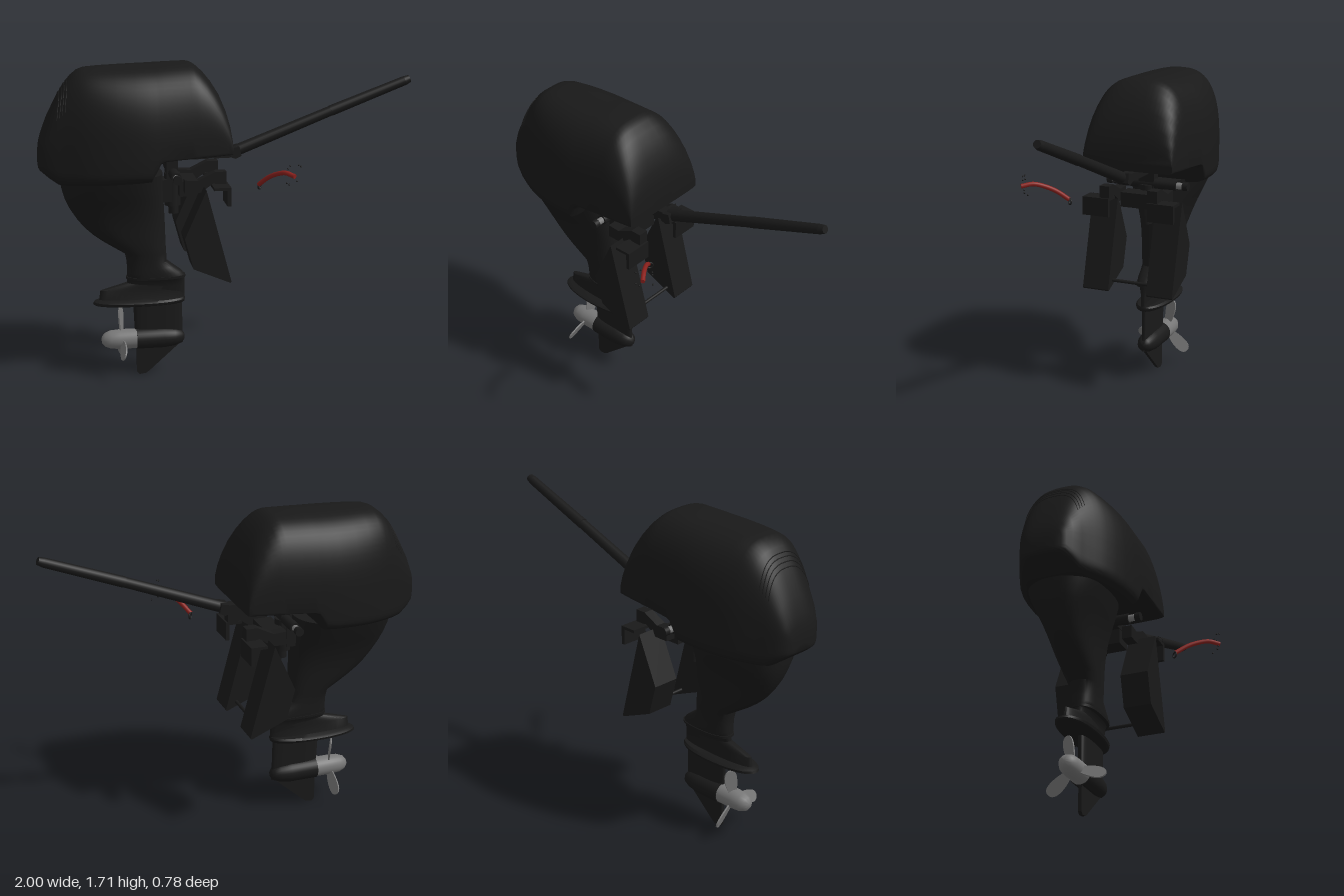
import * as THREE from 'three';
import { toCreasedNormals } from 'three/addons/utils/BufferGeometryUtils.js';

const V = (x, y, z) => new THREE.Vector3(x, y, z);
const material = (name, color) => {
  const m = new THREE.MeshStandardMaterial({ color });
  m.name = name;
  return m;
};

// Closed skin through equal-length rings, with capped ends
function loft(rings) {
  const n = rings[0].length, pos = [], idx = [];
  rings.flat().forEach(p => pos.push(p.x, p.y, p.z));
  for (let i = 0; i < rings.length - 1; i++) {
    for (let j = 0; j < n; j++) {
      const k = (j + 1) % n, a = i * n + j, b = i * n + k;
      idx.push(a, b, b + n, a, b + n, a + n);
    }
  }
  [0, rings.length - 1].forEach(i => {
    const c = rings[i].reduce((s, p) => s.add(p), V(0, 0, 0)).divideScalar(n);
    const at = pos.length / 3;
    pos.push(c.x, c.y, c.z);
    for (let j = 0; j < n; j++) {
      const a = i * n + j, b = i * n + (j + 1) % n;
      if (i === 0) idx.push(at, b, a); else idx.push(at, a, b);
    }
  });
  const g = new THREE.BufferGeometry();
  g.setAttribute('position', new THREE.Float32BufferAttribute(pos, 3));
  g.setIndex(idx);
  return toCreasedNormals(g, 0.7);
}

const power = (v, n) => Math.sign(v) * Math.abs(v) ** (2 / n);

// Horizontal sections, each [y, rear x, front x, half width], from low to high
function tower(rows, n = 2.5) {
  return loft(rows.map(([y, x0, x1, w]) => Array.from({ length: 40 }, (_, j) => {
    const t = j / 40 * Math.PI * 2;
    return V((x0 + x1) / 2 + (x1 - x0) / 2 * power(Math.sin(t), n), y, w * power(Math.cos(t), n));
  })));
}

// Cowl stations: [x, bottom, top, half width]
const cowlRows = [
  [-1, 1.18, 1.26, 0.07], [-0.993, 1.17, 1.31, 0.1], [-0.98, 1.16, 1.355, 0.122],
  [-0.95, 1.135, 1.435, 0.145], [-0.9, 1.1, 1.535, 0.168], [-0.86, 1.095, 1.6, 0.187],
  [-0.82, 1.096, 1.65, 0.207], [-0.785, 1.097, 1.678, 0.223], [-0.75, 1.098, 1.69, 0.238],
  [-0.68, 1.1, 1.695, 0.26], [-0.6, 1.105, 1.698, 0.276], [-0.5, 1.11, 1.701, 0.286],
  [-0.43, 1.115, 1.703, 0.285], [-0.4, 1.18, 1.704, 0.283], [-0.385, 1.215, 1.705, 0.282],
  [-0.36, 1.23, 1.706, 0.281], [-0.22, 1.24, 1.71, 0.271], [-0.195, 1.24, 1.704, 0.27],
  [-0.17, 1.242, 1.689, 0.268], [-0.135, 1.243, 1.657, 0.265], [-0.1, 1.245, 1.613, 0.263],
  [-0.065, 1.247, 1.556, 0.26], [-0.035, 1.249, 1.483, 0.258], [-0.018, 1.25, 1.42, 0.256],
  [-0.01, 1.25, 1.36, 0.255],
];

// Point on the cowl: t = 0 at the crown, PI at the underside
function cowlPoint([x, bottom, top, w], t) {
  const mid = Math.max(bottom + 0.02, Math.min(1.25, (bottom + top) / 2));
  const c = Math.cos(t), s = Math.sin(t);
  const n = 2.75 + 0.75 * THREE.MathUtils.smoothstep(x, -0.25, -0.02);
  if (c >= 0) return V(x, mid + (top - mid) * power(c, n), w * power(s, n));
  return V(x, mid + (bottom - mid) * power(-c, 6), w * power(s, 6));
}

function cowlRow(x) {
  const i = Math.max(1, cowlRows.findIndex(r => r[0] >= x));
  const a = cowlRows[i - 1], b = cowlRows[i], f = (x - a[0]) / (b[0] - a[0]);
  return a.map((v, k) => v + (b[k] - v) * f);
}

// Side outline in x, y extruded across z
function slab(points, z0, z1) {
  const shape = new THREE.Shape(points.map(p => new THREE.Vector2(...p)));
  return new THREE.ExtrudeGeometry(shape, { depth: z1 - z0, bevelEnabled: false }).translate(0, 0, z0);
}

const box = (x0, x1, y0, y1, z0, z1) =>
  new THREE.BoxGeometry(x1 - x0, y1 - y0, z1 - z0).translate((x0 + x1) / 2, (y0 + y1) / 2, (z0 + z1) / 2);

function rod(a, b, r0, r1 = r0) {
  const d = b.clone().sub(a);
  const q = new THREE.Quaternion().setFromUnitVectors(V(0, 1, 0), d.clone().normalize());
  return new THREE.CylinderGeometry(r1, r0, d.length(), 20).applyQuaternion(q)
    .translate((a.x + b.x) / 2, (a.y + b.y) / 2, (a.z + b.z) / 2);
}

// Turned part along the propeller shaft; profile is [distance toward -x, radius]
const shaftY = 0.205;
const turned = profile => toCreasedNormals(new THREE.LatheGeometry(
  profile.map(([d, r]) => new THREE.Vector2(r, d)), 28).rotateZ(Math.PI / 2).translate(0, shaftY, 0), 0.7);

export function createModel() {
  const black = material('black paint', 0x191919);
  const grey = material('propeller grey', 0x777777);
  const red = material('cord red', 0x8a211d);
  const model = new THREE.Group();
  const motor = new THREE.Group();
  motor.name = 'motor';
  motor.position.z = -0.1;
  model.add(motor);
  const add = (name, geometry, mat = black, parent = motor) => {
    const m = new THREE.Mesh(geometry, mat);
    m.name = name;
    parent.add(m);
    return m;
  };

  // Engine cover with raised vent ribs around its rear shoulder
  add('cowl', loft(cowlRows.map(row =>
    Array.from({ length: 64 }, (_, j) => cowlPoint(row, j / 64 * Math.PI * 2)))));
  for (let i = 0; i < 4; i++) {
    const pts = [];
    for (let j = 0; j <= 24; j++) {
      const t = (j / 12 - 1) * 0.95;
      pts.push(cowlPoint(cowlRow(-0.84 - i * 0.014 - 0.03 * Math.sin(t) ** 2), t));
    }
    add('ventRib', new THREE.TubeGeometry(new THREE.CatmullRomCurve3(pts), 48, 0.0025, 6));
  }

  // Leg and gearcase
  add('leg', tower([
    [0.42, -0.55, -0.235, 0.025], [0.5, -0.55, -0.235, 0.032], [0.545, -0.545, -0.235, 0.045],
    [0.56, -0.545, -0.235, 0.066], [0.58, -0.545, -0.25, 0.068], [0.61, -0.545, -0.29, 0.068],
    [0.64, -0.545, -0.33, 0.07], [0.69, -0.555, -0.333, 0.077], [0.73, -0.62, -0.335, 0.084],
    [0.765, -0.675, -0.336, 0.09], [0.8, -0.722, -0.337, 0.096], [0.845, -0.77, -0.338, 0.104],
    [0.89, -0.806, -0.34, 0.115], [0.95, -0.844, -0.343, 0.135], [1, -0.866, -0.345, 0.157],
    [1.06, -0.883, -0.348, 0.185], [1.13, -0.89, -0.35, 0.21],
  ]));
  add('collar', tower([[0.547, -0.55, -0.23, 0.068], [0.56, -0.55, -0.23, 0.07]]));
  add('plateFairing', tower([[0.42, -0.7, -0.235, 0.045], [0.485, -0.69, -0.235, 0.033], [0.525, -0.55, -0.235, 0.036]], 2.2));
  add('cavitationPlate', tower([[0.406, -0.72, -0.24, 0.075], [0.412, -0.73, -0.235, 0.088],
    [0.425, -0.725, -0.232, 0.093], [0.435, -0.7, -0.235, 0.08]], 2.2));
  add('strut', tower([[0.17, -0.505, -0.245, 0.024], [0.42, -0.515, -0.25, 0.027]]));
  add('gearcase', turned([[0.235, 0], [0.24, 0.02], [0.255, 0.037], [0.29, 0.05], [0.35, 0.058], [0.5, 0.058], [0.5, 0]]));
  add('skeg', slab([[-0.5, 0.18], [-0.5, 0.015], [-0.485, 0], [-0.45, 0.005], [-0.43, 0.02], [-0.245, 0.185]], -0.009, 0.009));

  // Propeller
  add('propellerHub', turned([[0.5, 0], [0.5, 0.054], [0.59, 0.054], [0.64, 0.05], [0.672, 0.037], [0.687, 0.018], [0.69, 0]]), grey);
  const blade = new THREE.Shape();
  blade.moveTo(-0.02, 0.04);
  blade.bezierCurveTo(-0.035, 0.1, -0.05, 0.178, 0, 0.178);
  blade.bezierCurveTo(0.045, 0.178, 0.04, 0.09, 0.02, 0.04);
  for (let i = 0; i < 3; i++) {
    const g = new THREE.ExtrudeGeometry(blade, { depth: 0.008, bevelEnabled: false, curveSegments: 12 })
      .translate(0, 0, -0.004).rotateY(Math.PI / 2 - 0.4);
    const m = add('propellerBlade', g, grey);
    m.position.set(-0.58, shaftY, 0);
    m.rotation.x = -0.23 + i * Math.PI * 2 / 3;
  }

  // Transom clamps, mirrored about the centre plane
  for (const s of [1, -1]) {
    const span = (a, b) => s > 0 ? [a, b] : [-b, -a];
    add('transomBracket', slab([[-0.265, 0.82], [-0.15, 1.075], [-0.02, 0.58], [-0.025, 0.572], [-0.22, 0.655]], ...span(0.11, 0.26)));
    add('clampArm', slab([[-0.25, 1.04], [-0.25, 1.11], [-0.18, 1.105], [-0.09, 1.15], [-0.03, 1.15],
      [-0.03, 1.07], [-0.1, 1.09], [-0.17, 1.04]], ...span(0.11, 0.165)));
    add('clampHook', box(-0.04, -0.02, 0.985, 1.08, ...span(0.11, 0.26)));
    add('clampTop', box(-0.11, -0.02, 1.07, 1.085, ...span(0.11, 0.26)));
    add('pivotPin', rod(V(-0.295, 1.125, 0.165 * s), V(-0.295, 1.125, 0.205 * s), 0.018), grey);
    add('pivotCap', rod(V(-0.295, 1.125, 0.205 * s), V(-0.295, 1.125, 0.235 * s), 0.023));
  }
  add('tiltTube', rod(V(-0.295, 1.125, -0.17), V(-0.295, 1.125, 0.17), 0.027));
  add('lowerCrossbar', rod(V(-0.08, 0.62, -0.12), V(-0.08, 0.62, 0.12), 0.009));

  // Swivel and steering arm
  add('swivelBlock', box(-0.27, -0.17, 1.01, 1.09, -0.105, 0.105));
  add('swivelBody', rod(V(-0.295, 0.945, 0), V(-0.295, 1.12, 0), 0.043));
  add('swivelFoot', rod(V(-0.29, 0.9, 0), V(-0.29, 0.95, 0), 0.028));
  add('swivelHead', box(-0.33, -0.27, 1.08, 1.21, -0.045, 0.045));
  add('motorMount', box(-0.37, -0.3, 0.97, 1.09, -0.05, 0.05));
  add('steeringArm', slab([[-0.32, 1.19], [-0.32, 1.225], [0.03, 1.24], [0.05, 1.195]], -0.03, 0.03));

  // Tiller handle
  add('tillerJoint', slab([[0.01, 1.2], [0.015, 1.245], [0.06, 1.255], [0.07, 1.205], [0.04, 1.19]], -0.044, 0.044));
  add('tillerShaft', rod(V(0.03, 1.22, 0), V(0.56, 1.425, 0), 0.031, 0.027));
  add('tillerGrip', rod(V(0.56, 1.425, 0), V(0.965, 1.577, 0), 0.029, 0.025));
  add('tillerTip', rod(V(0.965, 1.577, 0), V(0.992, 1.588, 0), 0.025, 0.02));

  // Safety cord with its clip and loose studs
  const cord = new THREE.Group();
  cord.name = 'safetyCord';
  model.add(cord);
  const path = new THREE.CatmullRomCurve3([
    V(0.122, 1.1, 0.17), V(0.16, 1.147, 0.225), V(0.195, 1.175, 0.275), V(0.23, 1.19, 0.325), V(0.265, 1.182, 0.372)]);
  add('cordLine', new THREE.TubeGeometry(path, 48, 0.012, 12), red, cord);
  const end = path.getPoint(1), tangent = path.getTangent(1).multiplyScalar(0.004);
  add('cordEnd', rod(end.clone().sub(tangent), end.clone().add(tangent), 0.012), red, cord);
  add('cordClip', new THREE.TorusGeometry(0.016, 0.004, 8, 20).rotateY(0.9).translate(0.127, 1.09, 0.163), black, cord);
  for (const [x, y, z] of [[0.23, 1.225, 0.385], [0.245, 1.235, 0.365], [0.295, 1.23, 0.335],
    [0.305, 1.225, 0.345], [0.29, 1.145, 0.325], [0.24, 1.14, 0.37], [0.225, 1.15, 0.38]]) {
    add('cordStud', new THREE.SphereGeometry(0.005, 8, 6).translate(x, y, z), black, cord);
  }
  return model;
}
